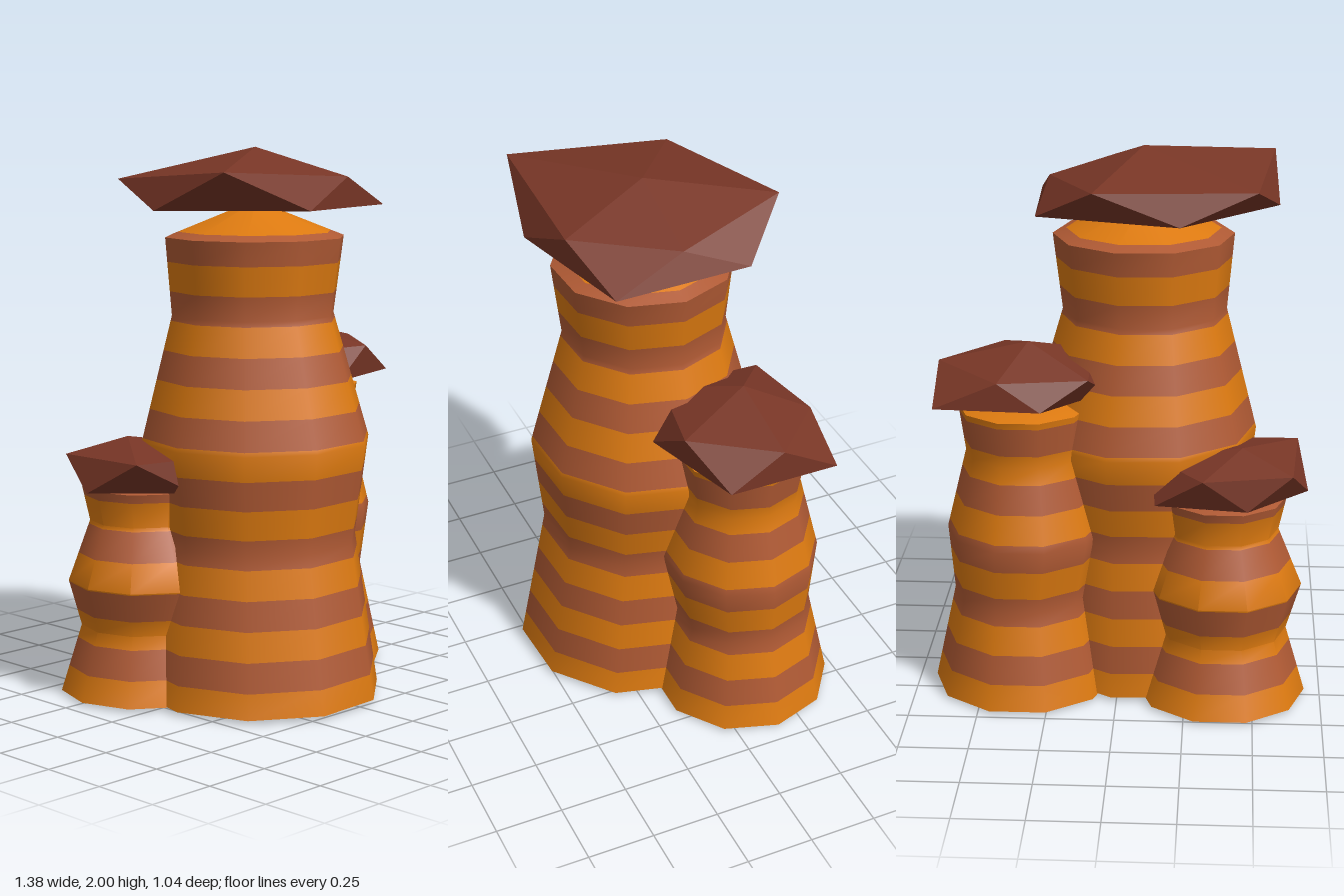
import * as THREE from 'three';
import { toCreasedNormals } from 'three/addons/utils/BufferGeometryUtils.js';

const SIDES = 10;
const BAND = 0.1062; // height of one rock layer, shared by all pillars

const orange = new THREE.MeshStandardMaterial({ color: 0xdd7a10 });
orange.name = 'orangeRock';
const brown = new THREE.MeshStandardMaterial({ color: 0xb05a34 });
brown.name = 'brownRock';
const dark = new THREE.MeshStandardMaterial({ color: 0x783626 });
dark.name = 'darkCapRock';

// Layered pillar: profile rows are [y, radius, centreX, centreZ], bottom to top
function pillar(name, profile, phase, baseMaterial) {
  const rows = [];
  profile.forEach((p, i) => {
    rows.push(p);
    const q = profile[i + 1];
    if (!q) return;
    // extra rings where a layer boundary crosses this stretch
    for (let k = Math.floor(p[0] / BAND) + 1; k * BAND < q[0] - 0.001; k++) {
      const t = (k * BAND - p[0]) / (q[0] - p[0]);
      if (t > 0.001) rows.push(p.map((v, j) => v + (q[j] - v) * t));
    }
  });
  const positions = [];
  for (const [y, r, cx, cz] of rows) {
    for (let s = 0; s < SIDES; s++) {
      const a = phase + (s / SIDES) * Math.PI * 2;
      positions.push(cx + r * Math.cos(a), y, cz + r * Math.sin(a));
    }
  }
  const geometry = new THREE.BufferGeometry();
  const index = [];
  for (let i = 0; i < rows.length - 1; i++) {
    const start = index.length;
    const last = i === rows.length - 2;
    for (let s = 0; s < SIDES; s++) {
      const n = (s + 1) % SIDES;
      const a = i * SIDES + s, b = i * SIDES + n, c = a + SIDES, d = b + SIDES;
      index.push(a, c, b);
      if (!last) index.push(b, c, d); // the last ring is the tip
    }
    const layer = Math.floor((rows[i][0] + rows[i + 1][0]) / 2 / BAND);
    geometry.addGroup(start, index.length - start, layer % 2);
  }
  // slightly bulging underside
  const centre = positions.length / 3;
  positions.push(rows[0][2], 0, rows[0][3]);
  const start = index.length;
  for (let s = 0; s < SIDES; s++) index.push(centre, s, (s + 1) % SIDES);
  geometry.addGroup(start, index.length - start, baseMaterial);

  geometry.setIndex(index);
  geometry.setAttribute('position', new THREE.Float32BufferAttribute(positions, 3));
  const mesh = new THREE.Mesh(toCreasedNormals(geometry, 0.8), [orange, brown]);
  mesh.name = name;
  return mesh;
}

// Faceted boulder: a tip, five shoulder corners and five corners on a flat bottom
function capRock(name, tip, upper, lower, bottomY) {
  const low = lower.map(([x, z]) => [x, bottomY, z]);
  const mid = [0, 1, 2].map((k) => low.reduce((sum, p) => sum + p[k] / 5, 0));
  const positions = [];
  for (let i = 0; i < 5; i++) {
    const j = (i + 1) % 5;
    positions.push(
      ...tip, ...upper[j], ...upper[i],
      ...upper[i], ...upper[j], ...low[i],
      ...upper[j], ...low[j], ...low[i],
      ...mid, ...low[i], ...low[j],
    );
  }
  const geometry = new THREE.BufferGeometry();
  geometry.setAttribute('position', new THREE.Float32BufferAttribute(positions, 3));
  geometry.computeVertexNormals();
  const mesh = new THREE.Mesh(geometry, dark);
  mesh.name = name;
  return mesh;
}

export function createModel() {
  const group = new THREE.Group();
  group.name = 'rockPillars';

  // Tall pillar
  group.add(pillar('tallPillar', [
    [0.015, 0.448, -0.095, 0.09], [0.58, 0.375, -0.085, 0.06], [0.94, 0.425, -0.075, 0.05],
    [1.4, 0.3, -0.085, 0.045], [1.68, 0.33, -0.08, 0.05], [1.81, 0, -0.08, 0.05],
  ], -0.05, 0));
  group.add(capRock('tallCap', [-0.08, 2, 0.05],
    [[0.26, 1.89, 0.05], [0.04, 1.9, 0.39], [-0.555, 1.93, 0.37], [-0.49, 1.89, -0.23], [0.08, 1.92, -0.4]],
    [[0.31, 0.32], [-0.21, 0.445], [-0.57, 0.04], [-0.22, -0.34], [0.293, -0.19]], 1.79));

  // Middle pillar
  group.add(pillar('middlePillar', [
    [0.01, 0.333, 0.355, -0.155], [0.37, 0.255, 0.355, -0.155], [0.61, 0.29, 0.343, -0.148],
    [0.91, 0.217, 0.343, -0.148], [1.085, 0.24, 0.345, -0.15], [1.16, 0, 0.345, -0.15],
  ], 0, 1));
  group.add(capRock('middleCap', [0.325, 1.325, -0.155],
    [[0.65, 1.25, -0.155], [0.44, 1.245, 0.125], [0.1, 1.24, 0.06], [0.1, 1.23, -0.32], [0.42, 1.23, -0.375]],
    [[0.65, 0.045], [0.25, 0.165], [0.04, -0.13], [0.265, -0.392], [0.65, -0.365]], 1.13));

  // Small pillar
  group.add(pillar('smallPillar', [
    [0.012, 0.31, -0.383, -0.225], [0.26, 0.235, -0.385, -0.22], [0.43, 0.285, -0.388, -0.21],
    [0.65, 0.2, -0.385, -0.22], [0.775, 0.225, -0.388, -0.22], [0.85, 0, -0.388, -0.22],
  ], 0, 1));
  group.add(capRock('smallCap', [-0.45, 0.96, -0.235],
    [[-0.12, 0.9, -0.18], [-0.3, 0.9, 0.06], [-0.655, 0.91, 0.035], [-0.63, 0.9, -0.37], [-0.31, 0.905, -0.455]],
    [[-0.13, 0], [-0.42, 0.08], [-0.69, -0.19], [-0.47, -0.425], [-0.14, -0.375]], 0.785));

  return group;
}
